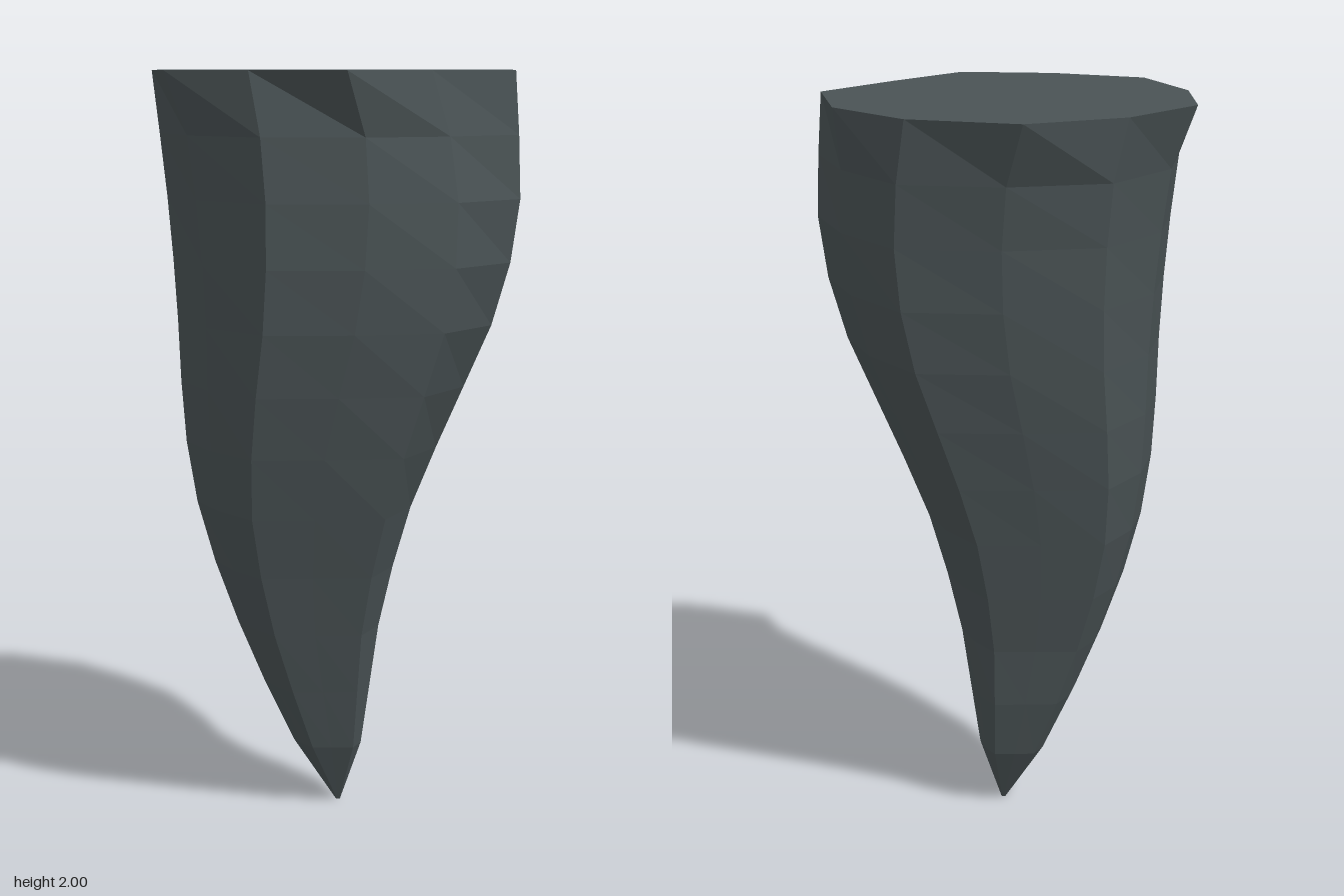
import * as THREE from 'three';

const SIDES = 11;
const AXIS_Z = 0.03; // the spike's axis is straight in z, and sways in x

// Outline of the broken-off top, as [x, z] per column
const TOP = [
  [0.49, 0.03], [0.33, 0.26], [0.17, 0.465], [-0.09, 0.468], [-0.345, 0.40], [-0.475, 0.16],
  [-0.51, -0.11], [-0.35, -0.34], [-0.10, -0.48], [0.20, -0.43], [0.41, -0.25],
];

// Extents [xMin, xMax, zMin, zMax] of each lower ring, evenly spaced down to the tip
const RINGS = [
  [-0.455, 0.50, -0.435, 0.48],
  [-0.435, 0.505, -0.41, 0.48],
  [-0.42, 0.48, -0.39, 0.475],
  [-0.41, 0.43, -0.36, 0.46],
  [-0.405, 0.355, -0.32, 0.435],
  [-0.395, 0.28, -0.275, 0.40],
  [-0.37, 0.21, -0.23, 0.355],
  [-0.325, 0.16, -0.185, 0.30],
  [-0.265, 0.12, -0.14, 0.245],
  [-0.195, 0.095, -0.11, 0.185],
  [-0.115, 0.07, -0.065, 0.125],
  [-0.002, 0.01, 0.024, 0.036],
];

// Bulge of each column near the top and in the lower half: ridges alternate with flats
const BULGE_TOP = [1, 0.88, 0.9, 1.01, 0.98, 1.01, 0.99, 1.03, 0.97, 1.04, 0.94];
const BULGE_LOW = [1, 1.15, 0.9, 1.01, 0.9, 1.01, 0.95, 1.07, 0.91, 1.07, 0.93];

// Eleven-sided ring fitted to its extents
function ringPoints([x0, x1, z0, z1], index) {
  const y = 2 - ((index + 1) * 2) / RINGS.length;
  const blend = Math.min(1, index / 6);
  const radiusX = (x1 - x0) / 1.97;
  const centreX = x1 - radiusX;
  return TOP.map((_, k) => {
    const a = (k / SIDES) * Math.PI * 2;
    const s = Math.sin(a);
    const bulge = THREE.MathUtils.lerp(BULGE_TOP[k], BULGE_LOW[k], blend);
    return [centreX + radiusX * Math.cos(a) * bulge, y,
      AXIS_Z + s * bulge * (s > 0 ? z1 - AXIS_Z : AXIS_Z - z0)];
  });
}

function spikeGeometry() {
  const rings = [TOP.map(([x, z]) => [x, 2, z]), ...RINGS.map(ringPoints)];
  const positions = [];
  const tri = (...points) => points.forEach((p) => positions.push(...p));
  const last = rings.length - 1;

  for (let k = 0; k < SIDES; k++) {
    const n = (k + 1) % SIDES;
    // Side facets
    for (let i = 0; i < last; i++) {
      const a = rings[i][k], b = rings[i][n], c = rings[i + 1][n], d = rings[i + 1][k];
      tri(b, c, d);
      tri(b, d, a);
    }
    // Flat top and tiny blunt tip
    tri([0, 2, 0], rings[0][n], rings[0][k]);
    tri([0.004, 0, AXIS_Z], rings[last][k], rings[last][n]);
  }

  const geometry = new THREE.BufferGeometry();
  geometry.setAttribute('position', new THREE.Float32BufferAttribute(positions, 3));
  geometry.computeVertexNormals(); // unshared corners give flat facets
  return geometry;
}

export function createModel() {
  const group = new THREE.Group();
  group.name = 'hangingRock';
  const stone = new THREE.MeshStandardMaterial({ color: 0x4a5355 });
  stone.name = 'dark slate stone';
  stone.flatShading = true;
  const spike = new THREE.Mesh(spikeGeometry(), stone);
  spike.name = 'rockSpike';
  group.add(spike);
  return group;
}
